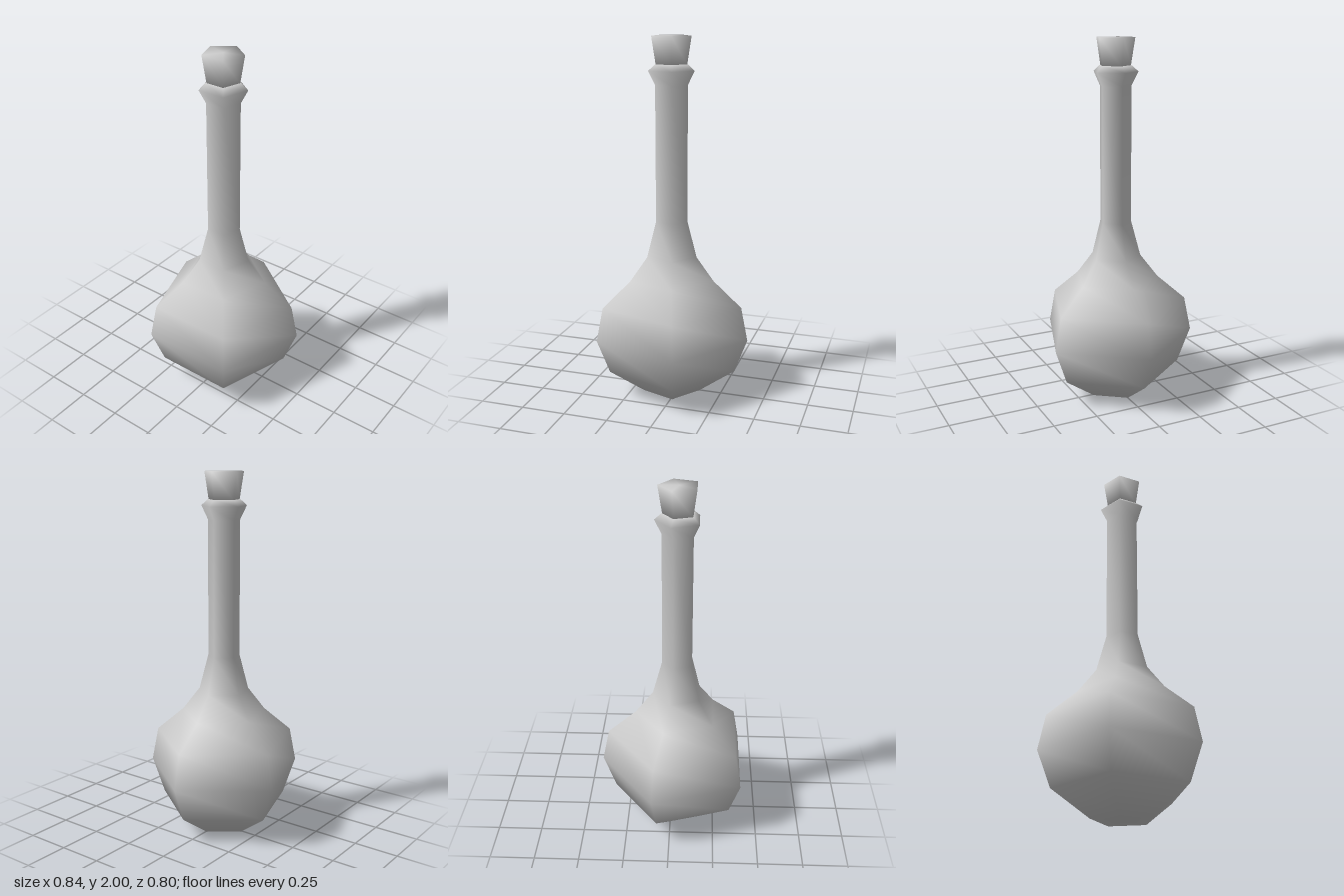
import * as THREE from 'three';

const SIDES = 5;
const AXIS_Z = 0.042; // the five-sided section is centred by its bounds, so its axis sits forward

// Smooth-shaded five-sided turning, with one corner pointing to the back
function turned(name, profile, material) {
  const points = profile.map(([r, y]) => new THREE.Vector2(r, y));
  const mesh = new THREE.Mesh(new THREE.LatheGeometry(points, SIDES, Math.PI), material);
  mesh.name = name;
  mesh.position.z = AXIS_Z;
  return mesh;
}

export function createModel() {
  const group = new THREE.Group();
  group.name = 'flask';
  const material = new THREE.MeshStandardMaterial({ color: 0xcccccc });

  // Round belly, long neck and flared lip as one closed skin
  group.add(turned('bottle', [
    [0, 0], [0.168, 0], [0.369, 0.145], [0.4415, 0.34], [0.403, 0.53],
    [0.243, 0.67], [0.144, 0.8], [0.091, 1.0], [0.091, 1.745],
    [0.129, 1.82], [0.091, 1.853], [0, 1.853],
  ], material));

  // Tapered stopper
  group.add(turned('stopper', [
    [0, 1.85], [0.087, 1.85], [0.111, 2], [0, 2],
  ], material));

  return group;
}
